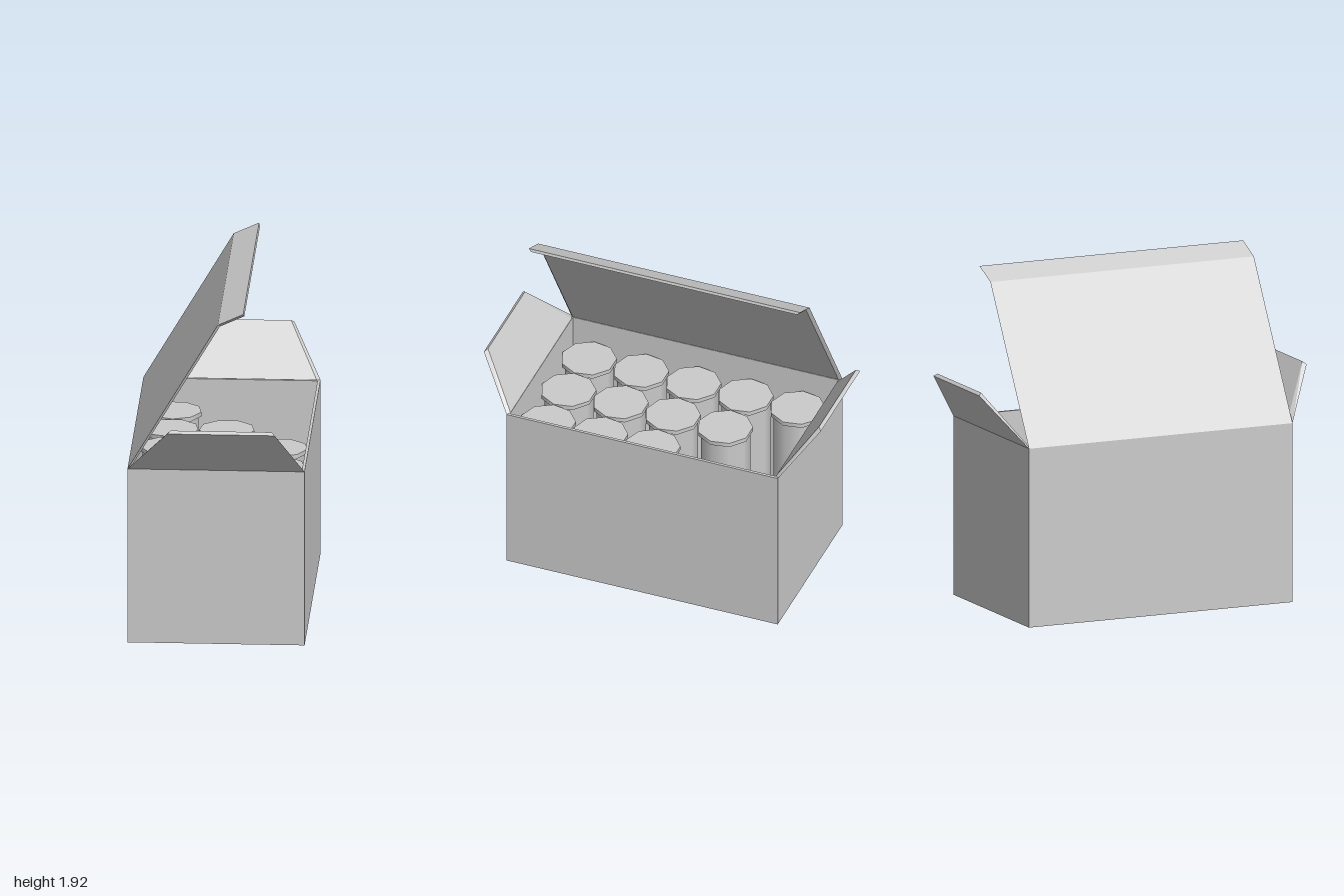
import * as THREE from 'three';
import { ConvexGeometry } from 'three/addons/geometries/ConvexGeometry.js';

const W = 0.49, D = 0.805, H = 1.01, T = 0.016; // half width, half depth, height, wall
const material = new THREE.MeshStandardMaterial({ color: 0xcccccc });

function add(parent, name, geometry, x = 0, y = 0, z = 0) {
  const mesh = new THREE.Mesh(geometry, material);
  mesh.name = name;
  mesh.position.set(x, y, z);
  parent.add(mesh);
  return mesh;
}

const convex = (points) => new ConvexGeometry(points.map((p) => new THREE.Vector3(...p)));

function rectangle(target, w, d) {
  target.moveTo(-w, -d);
  target.lineTo(w, -d);
  target.lineTo(w, d);
  target.lineTo(-w, d);
  target.closePath();
  return target;
}

export function createModel() {
  const model = new THREE.Group();
  model.name = 'openCarton';

  // Open carton: four walls and a floor
  const ring = rectangle(new THREE.Shape(), W, D);
  ring.holes.push(rectangle(new THREE.Path(), W - T, D - T));
  const walls = new THREE.ExtrudeGeometry(ring, { depth: H, bevelEnabled: false });
  walls.rotateX(-Math.PI / 2);
  add(model, 'cartonWalls', walls);
  add(model, 'cartonFloor', new THREE.BoxGeometry(2 * (W - T), T, 2 * (D - T)), 0, T / 2, 0);

  // Trapezoid flaps folded outward at both ends
  for (const [name, s] of [['frontFlap', 1], ['backFlap', -1]]) {
    add(model, name, convex([
      [-W, H, s * D], [W, H, s * D], [0.335, 1.282, s], [-0.26, 1.282, s],
      [-0.455, H + 0.004, s * (D - T)], [0.47, H + 0.004, s * (D - T)],
      [0.318, 1.296, s * 0.982], [-0.242, 1.296, s * 0.982],
    ]));
  }

  // Raised lid hinged on the -x wall, with a creased lip at its free edge.
  // Each station: outer x, y and inner x, y of the panel.
  const stations = [
    [-W, H, -0.472, H + 0.004],
    [0.01, 1.856, 0.021, 1.843],
    [0.15, 1.92, 0.156, 1.905],
  ];
  const lid = new THREE.Group();
  lid.name = 'lid';
  model.add(lid);
  ['lidPanel', 'lidLip'].forEach((name, i) => {
    const points = [];
    for (const [ox, oy, ix, iy] of stations.slice(i, i + 2)) {
      for (const s of [-1, 1]) points.push([ox, oy, s * D], [ix, iy, s * (D - T)]);
    }
    add(lid, name, convex(points));
  });

  // Cans in three rows; the back corner is partly emptied
  const body = new THREE.CylinderGeometry(0.14, 0.14, 0.845, 9);
  const rim = new THREE.CylinderGeometry(0.155, 0.155, 0.025, 9);
  const pitch = 0.31;
  [5, 4, 3].forEach((count, row) => {
    for (let i = 0; i < count; i++) {
      const can = new THREE.Group();
      can.name = 'can';
      can.position.set((row - 1) * pitch, T, 0.63 - i * pitch);
      add(can, 'canBody', body, 0, 0.4225, 0);
      add(can, 'canRim', rim, 0, 0.8565, 0);
      model.add(can);
    }
  });

  return model;
}
